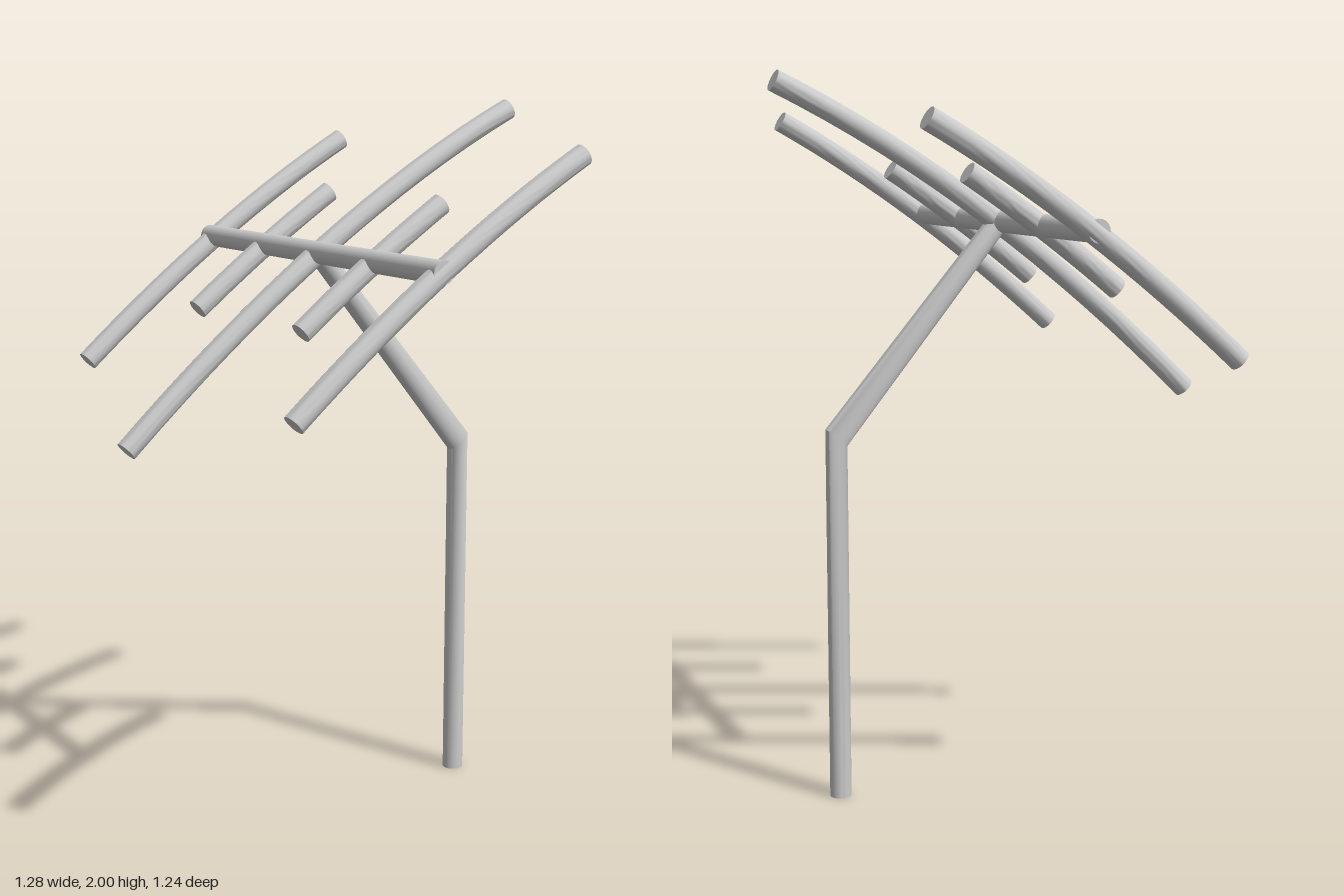
import * as THREE from 'three';
import { toCreasedNormals } from 'three/addons/utils/BufferGeometryUtils.js';

const R = 0.03;
const SIDES = 24;
const material = new THREE.MeshStandardMaterial({ color: 0xcccccc });

// Capped tube in the xy plane; each section is [x, y, hx, hy], where (hx, hy)
// is the half width across the path and R the half depth along z.
function rodGeometry(sections) {
  const pos = [], index = [];
  for (const [x, y, hx, hy] of sections) {
    for (let j = 0; j < SIDES; j++) {
      const a = (j / SIDES) * Math.PI * 2;
      pos.push(x + hx * Math.cos(a), y + hy * Math.cos(a), R * Math.sin(a));
    }
  }
  const last = sections.length - 1;
  for (let i = 0; i < last; i++) {
    for (let j = 0; j < SIDES; j++) {
      const k = (j + 1) % SIDES;
      const a = i * SIDES + j, b = i * SIDES + k;
      const c = a + SIDES, d = b + SIDES;
      index.push(a, c, b, b, c, d);
    }
  }
  // End caps
  for (let j = 1; j < SIDES - 1; j++) {
    const e = last * SIDES;
    index.push(0, j, j + 1, e, e + j + 1, e + j);
  }
  const geo = new THREE.BufferGeometry();
  geo.setAttribute('position', new THREE.Float32BufferAttribute(pos, 3));
  geo.setIndex(index);
  return toCreasedNormals(geo, 0.6);
}

// Shared bow of all the cross elements
const bowY = (x) => 1.611 + 0.706 * x - 0.19 * x * x;

function elementGeometry(x0, x1) {
  const sections = [];
  const steps = 16;
  for (let i = 0; i <= steps; i++) {
    const x = x0 + ((x1 - x0) * i) / steps;
    const slope = 0.706 - 0.38 * x;
    const len = Math.hypot(1, slope);
    sections.push([x, bowY(x), (R * slope) / len, -R / len]);
  }
  return rodGeometry(sections);
}

export function createModel() {
  const group = new THREE.Group();
  const add = (name, geo, x = 0, y = 0, z = 0) => {
    const mesh = new THREE.Mesh(geo, material);
    mesh.name = name;
    mesh.position.set(x, y, z);
    group.add(mesh);
    return mesh;
  };

  // Upright mast bending into the slanted arm
  add('mast', rodGeometry([
    [0.46, 0, R, 0],
    [0.46, 1.018, 0.03, 0.024],
    [-0.015, 1.587, 0.023, 0.019],
  ]));

  // Boom carrying the elements, front to back
  add('boom', new THREE.CylinderGeometry(0.031, 0.031, 1.22, SIDES), -0.03, 1.597, 0)
    .rotation.x = Math.PI / 2;

  // Bowed elements: long centre, short pair, medium outer pair
  add('centreElement', elementGeometry(-0.62, 0.622));
  for (const side of [1, -1]) {
    const end = side > 0 ? 'front' : 'back';
    add(end + 'ShortElement', elementGeometry(-0.25, 0.19), 0, 0, side * 0.283);
    add(end + 'OuterElement', elementGeometry(-0.455, 0.422), 0, 0, side * 0.588);
  }
  return group;
}
